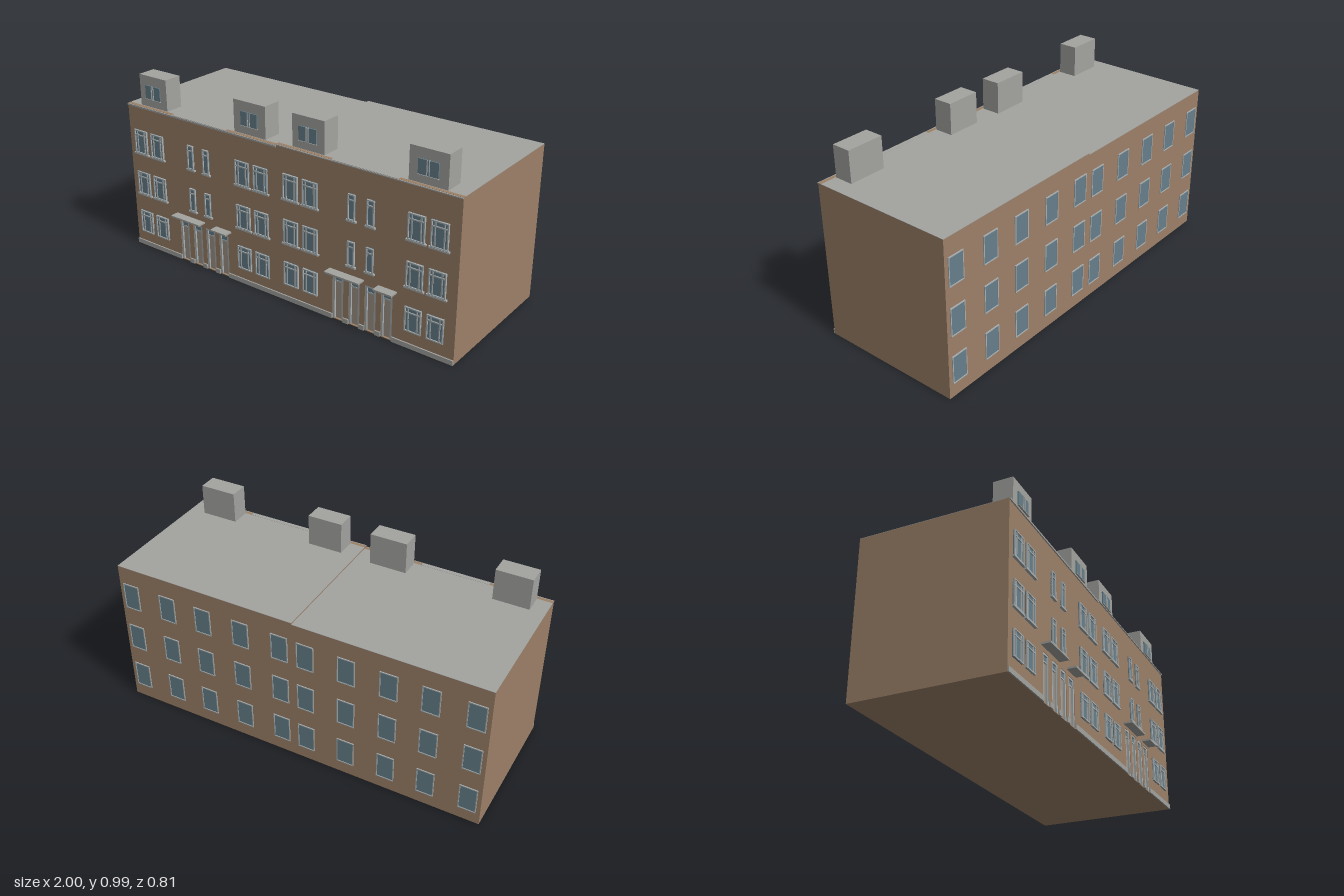
import * as THREE from 'three';

const mat = (name, color) => {
  const m = new THREE.MeshStandardMaterial({ color });
  m.name = name;
  return m;
};

export function createModel() {
  const brick = mat('brick', 0x9c8068);
  const concrete = mat('concrete', 0xa3a3a0);
  const glass = mat('glass', 0x667f8a);
  const frame = mat('frame', 0xa9b0b2);
  const doorPaint = mat('doorPaint', 0xa1968b);
  const model = new THREE.Group();
  model.name = 'terraceBuilding';

  // Box given by its two opposite corners
  const box = (parent, name, m, x0, x1, y0, y1, z0, z1) => {
    const mesh = new THREE.Mesh(new THREE.BoxGeometry(x1 - x0, y1 - y0, z1 - z0), m);
    mesh.position.set((x0 + x1) / 2, (y0 + y1) / 2, (z0 + z1) / 2);
    mesh.name = name;
    parent.add(mesh);
    return mesh;
  };
  const group = (parent, name) => {
    const g = new THREE.Group();
    g.name = name;
    parent.add(g);
    return g;
  };

  const WALL = 0.357, CORE = 0.338, BACK = -0.4;
  const doorXs = [-0.637, -0.543, -0.452, -0.361];
  const doorHalf = 0.031, doorTop = 0.237;

  // Glazed front window with surround, mullions, transom and optional sill
  function frontWindow(parent, x, y0, y1, w, sill) {
    const g = group(parent, 'frontWindow');
    const h = w / 2, t = 0.006, z = WALL + 0.01;
    box(g, 'windowGlass', glass, x - h, x + h, y0, y1, WALL - 0.002, WALL + 0.004);
    for (const s of [-1, 1]) {
      const e = x + s * (h - t / 2);
      box(g, 'windowJamb', frame, e - t / 2, e + t / 2, y0, y1, WALL, z);
      if (w > 0.06) {
        const c = x + s * w * 0.27;
        box(g, 'mullion', frame, c - 0.003, c + 0.003, y0, y1, WALL, z - 0.002);
      }
    }
    box(g, 'windowHead', frame, x - h, x + h, y1 - t, y1, WALL, z);
    box(g, 'windowFoot', frame, x - h, x + h, y0, y0 + t, WALL, z);
    const ty = y0 + (y1 - y0) * 0.78;
    box(g, 'transom', frame, x - h, x + h, ty - 0.003, ty + 0.003, WALL, z - 0.001);
    if (sill) box(g, 'windowSill', frame, x - h - 0.008, x + h + 0.008, y0 - 0.007, y0 + 0.002, WALL, z + 0.002);
  }

  // Recessed entrance door with a light over it
  function door(parent, x, lift) {
    const g = group(parent, 'entranceDoor');
    const h = doorHalf, top = doorTop + lift, t = 0.011, z = WALL - 0.002;
    box(g, 'doorPanel', doorPaint, x - h, x + h, 0.004, top, CORE, CORE + 0.008);
    box(g, 'doorLight', glass, x - h + t, x + h - t, top - 0.034, top - 0.012, CORE, CORE + 0.011);
    box(g, 'doorHead', frame, x - h, x + h, top - 0.01, top, CORE, z);
    box(g, 'doorRail', frame, x - h + t, x + h - t, top - 0.041, top - 0.034, CORE, CORE + 0.013);
    for (const s of [-1, 1]) {
      const e = x + s * (h - t / 2);
      box(g, 'doorJamb', frame, e - t / 2, e + t / 2, 0.004, top - 0.01, CORE, z);
    }
  }

  // One half of the building; the right-hand one is slightly taller
  function house(x0, lift) {
    const g = group(model, 'house');
    const dx = x0 + 1, x1 = x0 + 1, top = 0.815 + lift;
    box(g, 'wallCore', brick, x0, x1, 0, top - 0.002, BACK, CORE);
    box(g, 'roof', concrete, x0, x1, top - 0.002, top, BACK, CORE);

    // Front wall with door openings
    const shape = new THREE.Shape([[x0, 0], [x1, 0], [x1, top], [x0, top]].map(p => new THREE.Vector2(...p)));
    for (const d of doorXs) {
      const a = d + dx - doorHalf, b = d + dx + doorHalf, t = doorTop + lift;
      shape.holes.push(new THREE.Path([[a, 0.004], [a, t], [b, t], [b, 0.004]].map(p => new THREE.Vector2(...p))));
      door(g, d + dx, lift);
    }
    const wall = new THREE.Mesh(new THREE.ExtrudeGeometry(shape, { depth: WALL - CORE, bevelEnabled: false }), brick);
    wall.position.z = CORE;
    wall.name = 'frontWall';
    g.add(wall);

    // Roof edge: gutter along the front, cap over the stairwell bay
    const gutterDrop = lift ? 0.006 : 0.01;
    box(g, 'gutter', concrete, x0, x1, top - gutterDrop, top - 0.001, WALL, WALL + 0.006);
    box(g, 'bayCap', concrete, dx - 0.68, dx - 0.32, top - 0.001, top + 0.001, CORE, WALL + 0.002);

    // Plinth pieces between the doors
    let a = x0;
    for (const d of [...doorXs, null]) {
      const b = d === null ? x1 : d + dx - doorHalf;
      box(g, 'plinth', concrete, a, b, 0, 0.025, WALL, WALL + 0.007);
      if (d !== null) a = d + dx + doorHalf;
    }

    // Front windows, three storeys
    [[0.083, 0.21], [0.312, 0.44], [0.548, 0.679]].forEach(([y0, y1], i) => {
      for (const x of [-0.917, -0.8, -0.217, -0.1])
        frontWindow(g, x + dx, y0 + lift * 0.8, y1 + lift * 0.8, 0.088, i > 0);
      if (i > 0) for (const x of [-0.562, -0.457])
        frontWindow(g, x + dx, y0 + lift * 0.8, y1 + lift * 0.8, 0.04, true);
    });

    // Door canopies
    for (const [c0, c1] of [[-0.686, -0.49], [-0.41, -0.308]])
      box(g, 'doorCanopy', concrete, c0 + dx, c1 + dx, 0.26, 0.269, WALL - 0.002, 0.404);
  }
  house(-1, 0);
  house(0, 0.008);

  // Rooftop dormers
  const dormers = [[-0.922, -0.735, -0.829, 0], [-0.28, -0.083, -0.182, 0],
    [0.08, 0.267, 0.171, 0.006], [0.717, 0.914, 0.815, 0.006]];
  for (const [x0, x1, c, lift] of dormers) {
    const g = group(model, 'dormer');
    box(g, 'dormerBody', concrete, x0, x1, 0.81, 0.981 + lift, 0.235, 0.335);
    const y0 = 0.859 + lift, y1 = 0.93 + lift;
    box(g, 'dormerGlass', glass, c - 0.051, c + 0.051, y0, y1, 0.335, 0.341);
    for (const s of [-1, 1])
      box(g, 'dormerMullion', frame, c + s * 0.006 - 0.002, c + s * 0.006 + 0.002, y0, y1, 0.335, 0.345);
    box(g, 'dormerSill', concrete, c - 0.053, c + 0.053, y0 - 0.004, y0, 0.335, 0.345);
  }

  // Back windows, ten on each storey
  for (const x of [0.07, 0.288, 0.505, 0.715, 0.933].flatMap(v => [-v, v])) {
    for (const y of [0.067, 0.32, 0.574]) {
      const lift = x > 0 ? 0.005 : 0;
      const g = group(model, 'backWindow');
      const h = 0.046, y0 = y + lift, y1 = y + 0.147 + lift, t = 0.005;
      box(g, 'backGlass', glass, x - h + t, x + h - t, y0 + t, y1 - t, BACK - 0.002, BACK + 0.002);
      for (const s of [-1, 1]) {
        const e = x + s * (h - t / 2);
        box(g, 'backJamb', frame, e - t / 2, e + t / 2, y0, y1, BACK - 0.005, BACK);
      }
      box(g, 'backHead', frame, x - h, x + h, y1 - t, y1, BACK - 0.005, BACK);
      box(g, 'backSill', frame, x - h, x + h, y0, y0 + t, BACK - 0.005, BACK);
    }
  }
  return model;
}
